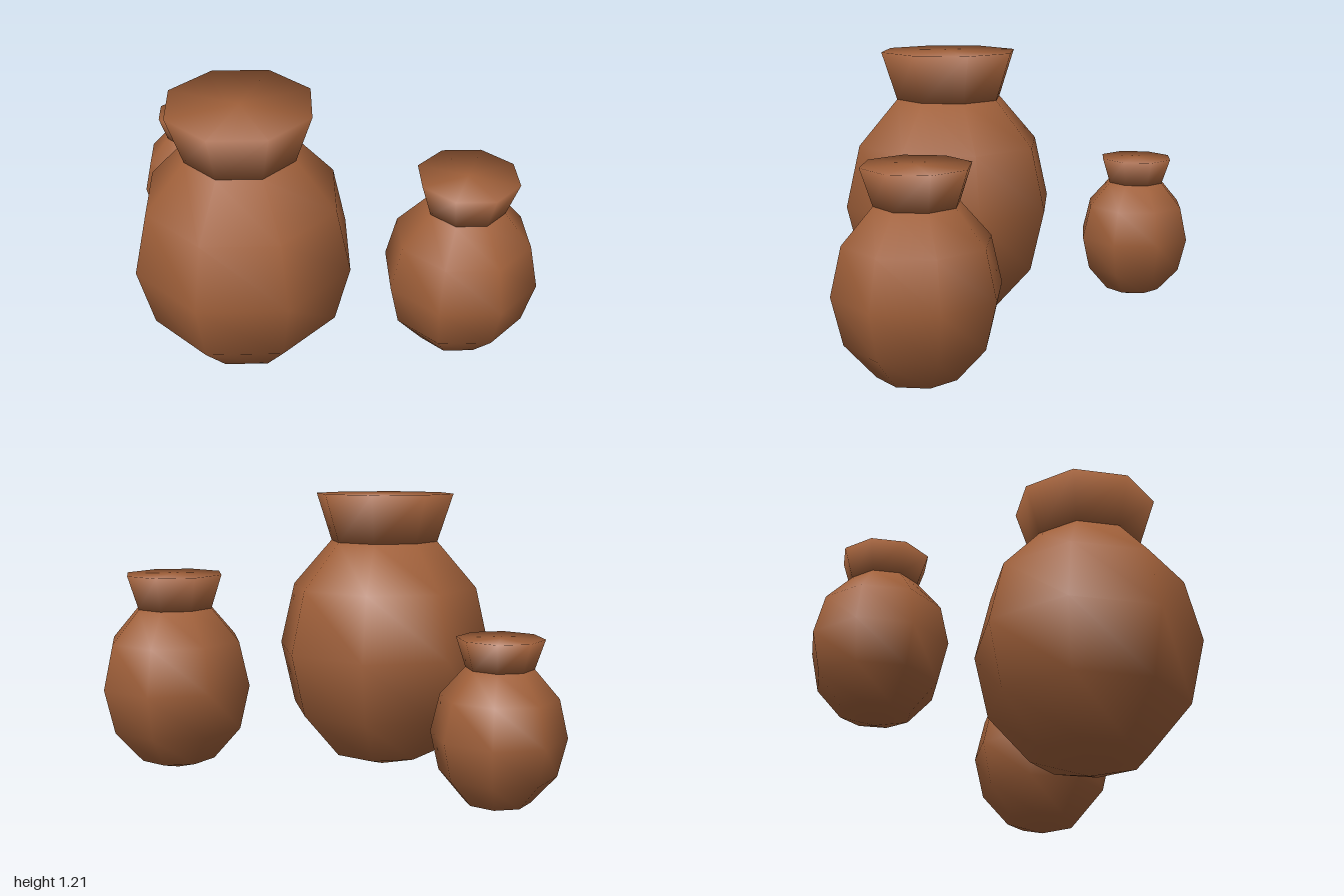
import * as THREE from 'three';
import { mergeVertices } from 'three/addons/utils/BufferGeometryUtils.js';

const SIDES = 8;

// Share vertices so the rim shades softly into the top
function smooth(geometry) {
  geometry.deleteAttribute('uv');
  geometry.deleteAttribute('normal');
  const merged = mergeVertices(geometry);
  merged.computeVertexNormals();
  return merged;
}

export function createModel() {
  const clay = new THREE.MeshStandardMaterial({ color: 0xa0603a });
  clay.name = 'clay';

  // Unit pot: body radius 1, centred on the body
  const bodyGeometry = new THREE.SphereGeometry(1, SIDES, 6);
  bodyGeometry.scale(1, 1.15, 1);

  const collarBottom = 0.996, collarTop = 1.434;
  const collarGeometry = smooth(
    new THREE.CylinderGeometry(0.643, 0.5, collarTop - collarBottom, SIDES)
  );
  collarGeometry.translate(0, (collarTop + collarBottom) / 2, 0);

  const model = new THREE.Group();
  model.name = 'pots';

  function addPot(name, radius, x, y, z) {
    const pot = new THREE.Group();
    pot.name = name;
    const body = new THREE.Mesh(bodyGeometry, clay);
    body.name = 'body';
    const collar = new THREE.Mesh(collarGeometry, clay);
    collar.name = 'collar';
    pot.add(body, collar);
    pot.scale.setScalar(radius);
    pot.position.set(x, y, z);
    model.add(pot);
  }

  addPot('largePot', 0.47, -0.18, 0.546, 0.233);
  addPot('mediumPot', 0.33, 0.667, 0.411, -0.108);
  addPot('smallPot', 0.257, -0.742, 0.344, -0.447);

  return model;
}
